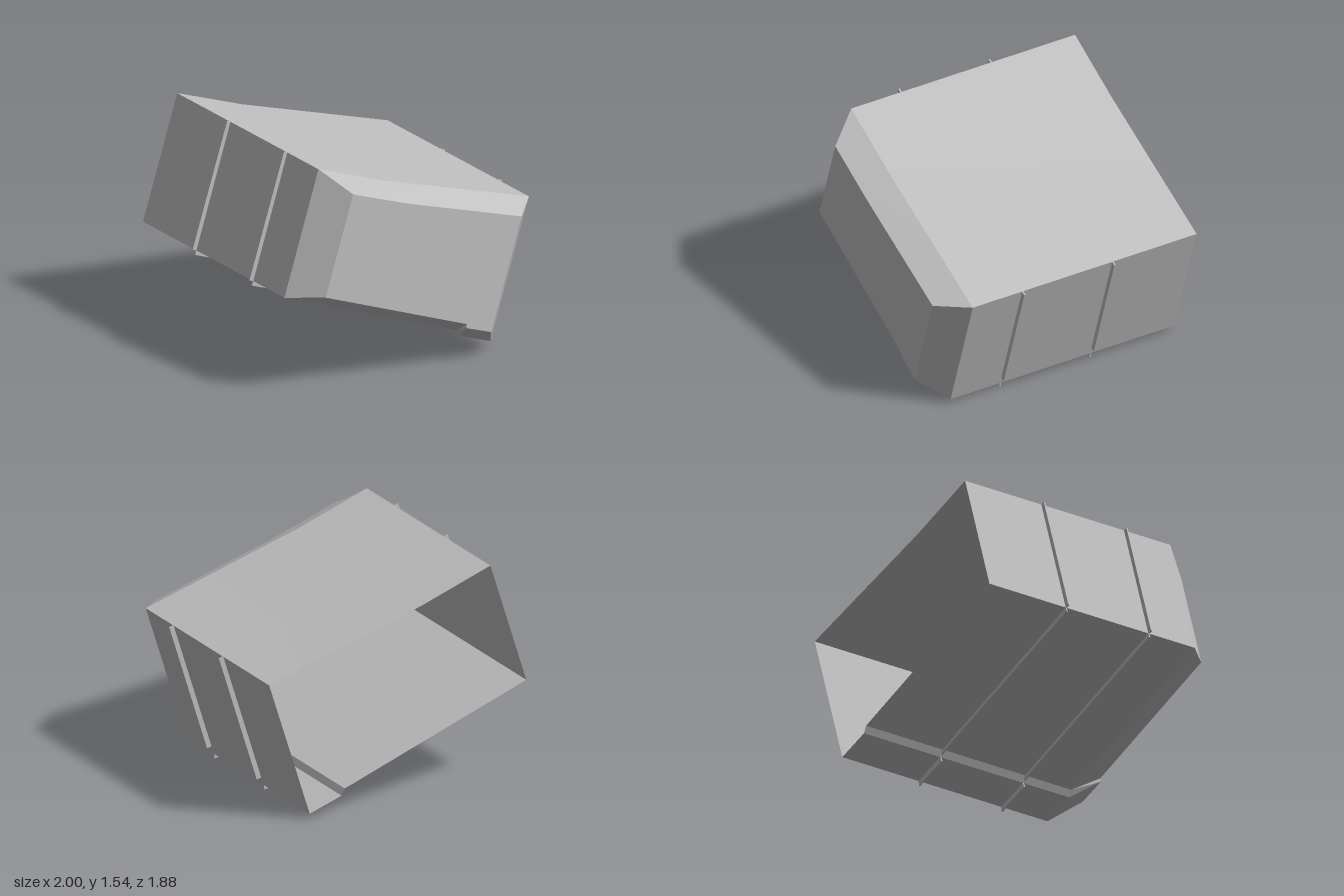
import * as THREE from 'three';
import { toCreasedNormals } from 'three/addons/utils/BufferGeometryUtils.js';

// Tilted outline of the case, counter-clockwise seen from the front
const outer = [[-0.97, 0.69], [0.396, 0.17], [0.42, 0.124], [0.66, 0.04],
  [0.965, 0.995], [-0.18, 1.35], [-0.70, 1.54]];
// The same corners, drawn in for the front panel
const inner = [[-0.775, 0.713], [0.342, 0.289], [0.337, 0.262], [0.535, 0.192],
  [0.775, 0.957], [-0.13, 1.24], [-0.557, 1.395]];

const BACK = -0.94, SHOULDER = 0.742, FRONT = 0.94;

const shapeOf = (points) => new THREE.Shape(points.map(([x, y]) => new THREE.Vector2(x, y)));

// Ring of faces joining two outlines at different depths
function band(a, za, b, zb) {
  const positions = [];
  a.forEach((p, i) => {
    const j = (i + 1) % a.length;
    const p0 = [...p, za], p1 = [...a[j], za];
    const q0 = [...b[i], zb], q1 = [...b[j], zb];
    positions.push(...p0, ...p1, ...q1, ...p0, ...q1, ...q0);
  });
  const geometry = new THREE.BufferGeometry();
  geometry.setAttribute('position', new THREE.Float32BufferAttribute(positions, 3));
  return toCreasedNormals(geometry, 0.2);
}

export function createModel() {
  const model = new THREE.Group();
  model.name = 'openCase';
  const grey = new THREE.MeshStandardMaterial({ color: 0xc0c0c0, side: THREE.DoubleSide });
  grey.name = 'grey';

  const add = (name, geometry, parent = model) => {
    const mesh = new THREE.Mesh(geometry, grey);
    mesh.name = name;
    parent.add(mesh);
    return mesh;
  };

  // Thin-walled case, open at the back
  add('walls', band(outer, BACK, outer, SHOULDER));
  add('frontBevel', band(outer, SHOULDER, inner, FRONT));
  add('frontPanel', new THREE.ShapeGeometry(shapeOf(inner))).position.z = FRONT;

  // Thin ribs standing out from the sides and the underside
  const ribs = {
    rightRib: [[-0.70, 1.54], [-0.727, 1.55], [-1.0, 0.70], [-0.97, 0.69]],
    bottomRib: [[-0.97, 0.69], [-0.98, 0.66], [0.33, 0.171], [0.408, 0.138], [0.396, 0.17]],
    stepRib: [[0.42, 0.124], [0.406, 0.09], [0.655, 0.005], [0.66, 0.04]],
    leftRib: [[0.68, 0.098], [0.713, 0.087], [0.997, 0.985], [0.965, 0.995]],
  };
  for (const z of [0.367, -0.31]) {
    const set = new THREE.Group();
    set.name = z > 0 ? 'frontRibs' : 'backRibs';
    set.position.z = z - 0.005;
    for (const [name, points] of Object.entries(ribs)) {
      add(name, new THREE.ExtrudeGeometry(shapeOf(points), { depth: 0.01, bevelEnabled: false }), set);
    }
    model.add(set);
  }
  return model;
}
